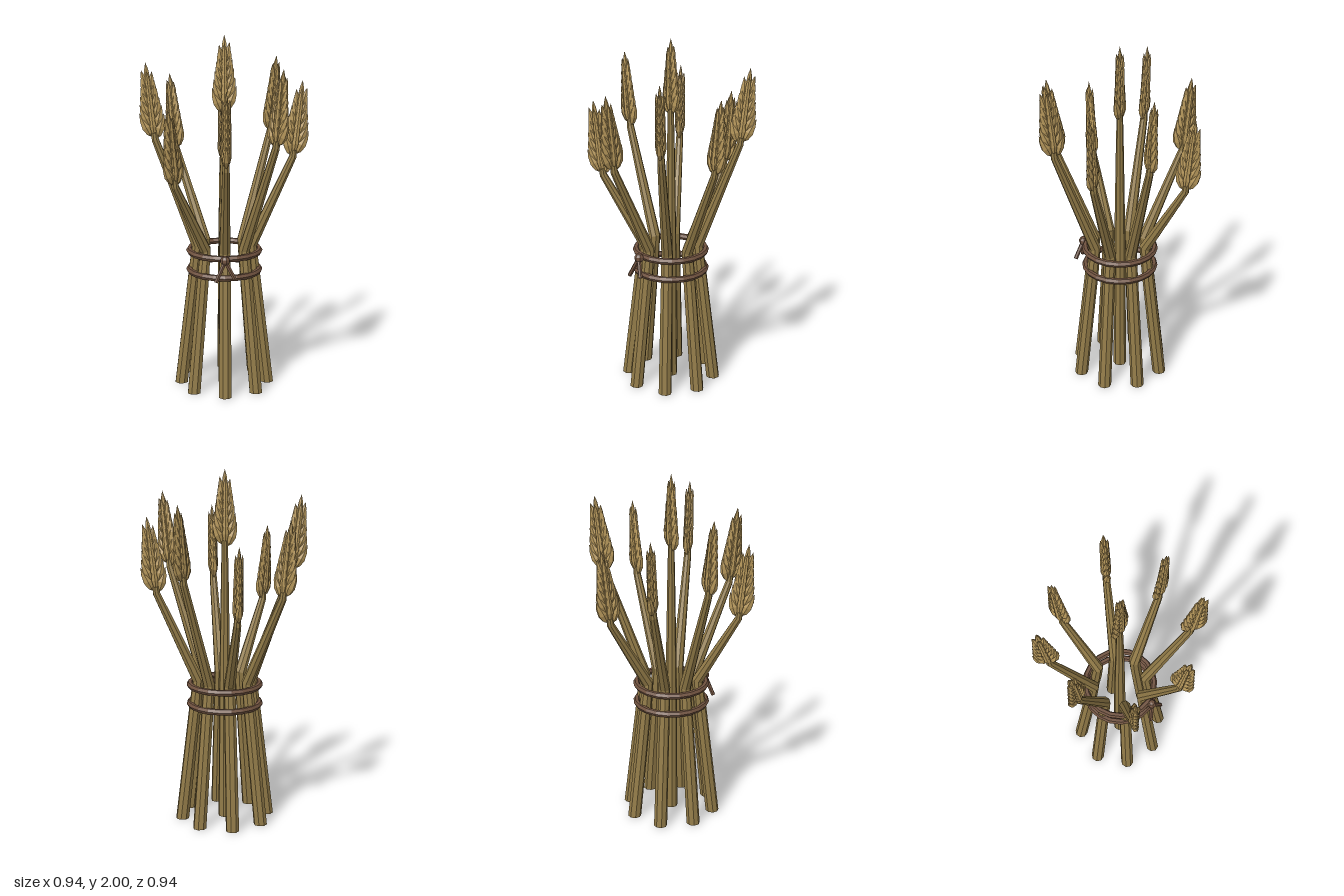
import * as THREE from 'three';
import { mergeGeometries } from 'three/addons/utils/BufferGeometryUtils.js';

const mat = (color) => new THREE.MeshStandardMaterial({ color, flatShading: true });
const strawMat = mat(0x927b48);
const earMat = mat(0xb8995c);
const tieMat = mat(0x70523f);

function mesh(name, geometry, material) {
  const m = new THREE.Mesh(geometry, material);
  m.name = name;
  return m;
}

// Eight-sided stem following [x, y, radius] stations from ground to ear.
function stemGeometry(path) {
  const n = path.length - 1;
  const geo = new THREE.CylinderGeometry(1, 1, 1, 8, n);
  geo.rotateY(Math.PI / 8);
  const p = geo.attributes.position;
  for (let i = 0; i < p.count; i++) {
    const k = Math.round((p.getY(i) + 0.5) * n);
    const [x, y, r] = path[k];
    const a = path[Math.max(k - 1, 0)], b = path[Math.min(k + 1, n)];
    const lean = k === 0 ? 0 : Math.atan2(b[0] - a[0], b[1] - a[1]);
    const u = p.getX(i) * r;
    p.setXYZ(i, x + u * Math.cos(lean), y - u * Math.sin(lean), p.getZ(i) * r);
  }
  geo.computeVertexNormals();
  return geo;
}

// Pointed husk with its base at the origin, growing along +y.
function grain(length, width, depth) {
  const profile = [[0, 0], [0.65, 0.14], [1, 0.4], [0.7, 0.7], [0, 1]];
  const geo = new THREE.LatheGeometry(profile.map(([x, y]) => new THREE.Vector2(x, y)), 6);
  return geo.scale(width, length, depth);
}

// Flattened ear: overlapping side husks, front and back husks, and a tip.
function earGeometry() {
  const parts = [grain(0.4, 0.028, 0.018)];
  const rows = 6;
  for (let k = 0; k < rows; k++) {
    const t = k / (rows - 1);
    const y = 0.005 + 0.25 * t;
    const length = 0.145 - 0.02 * t;
    for (const s of [-1, 1]) {
      const side = grain(length, 0.027 - 0.008 * t, 0.021 - 0.005 * t);
      side.rotateZ(-s * (0.36 - 0.2 * t));
      side.translate(s * (0.017 - 0.008 * t), y + (s > 0 ? 0.012 : 0), 0);
      const face = grain(length * 0.9, 0.021 - 0.005 * t, 0.013);
      face.rotateX(s * 0.1);
      face.translate(0, y + 0.02, s * (0.011 - 0.003 * t));
      parts.push(side, face);
    }
  }
  parts.push(grain(0.13, 0.017, 0.012).translate(0, 0.3, 0));
  return mergeGeometries(parts);
}

// Straight round cord between two points.
function cord(name, from, to, r0, r1) {
  const a = new THREE.Vector3(...from), b = new THREE.Vector3(...to);
  const dir = b.clone().sub(a);
  const m = mesh(name, new THREE.CylinderGeometry(r1, r0, dir.length(), 6), tieMat);
  m.position.copy(a).add(b).multiplyScalar(0.5);
  m.quaternion.setFromUnitVectors(new THREE.Vector3(0, 1, 0), dir.normalize());
  return m;
}

export function createModel() {
  const model = new THREE.Group();
  model.name = 'wheatSheaf';
  const earGeo = earGeometry();

  function addStalk(name, path, earX, earY, lean, angle) {
    const stalk = new THREE.Group();
    stalk.name = name;
    const ear = mesh('ear', earGeo, earMat);
    ear.position.set(earX, earY, 0);
    ear.rotation.z = -lean;
    stalk.add(mesh('stem', stemGeometry(path), strawMat), ear);
    stalk.rotation.y = -angle;
    model.add(stalk);
  }

  // Upright middle stalk
  addStalk('centreStalk',
    [[0, 0, 0.037], [0, 0.8, 0.032], [0, 1.4, 0.022], [0, 1.62, 0.017]], 0, 1.57, 0, 0);

  // Ring of stalks, pinched at the tie and splayed above it
  const tops = [1.75, 1.85, 1.75, 1.64, 1.85, 1.75, 1.64, 1.85];
  tops.forEach((top, i) => {
    const y = top - 0.425;
    addStalk('outerStalk', [
      [0.247, 0, 0.038],
      [0.168, 0.68, 0.034],
      [0.153, 0.82, 0.033],
      [0.382, y, 0.021],
      [0.39, y + 0.07, 0.016],
    ], 0.384, y, 0.11, (i * Math.PI) / 4);
  });

  // Two binding hoops
  for (const y of [0.68, 0.79]) {
    const hoop = mesh('tieHoop', new THREE.TorusGeometry(0.198, 0.018, 6, 20), tieMat);
    hoop.rotation.x = Math.PI / 2;
    hoop.position.y = y;
    model.add(hoop);
  }

  // Knot with two loose ends
  const knot = mesh('knot', new THREE.SphereGeometry(0.028, 7, 5), tieMat);
  knot.position.set(0, 0.787, 0.222);
  model.add(knot);
  for (const s of [-1, 1]) {
    model.add(cord('looseEnd', [0, 0.785, 0.225],
      [s * 0.052, s < 0 ? 0.672 : 0.69, 0.252], 0.012, 0.012));
  }
  return model;
}
